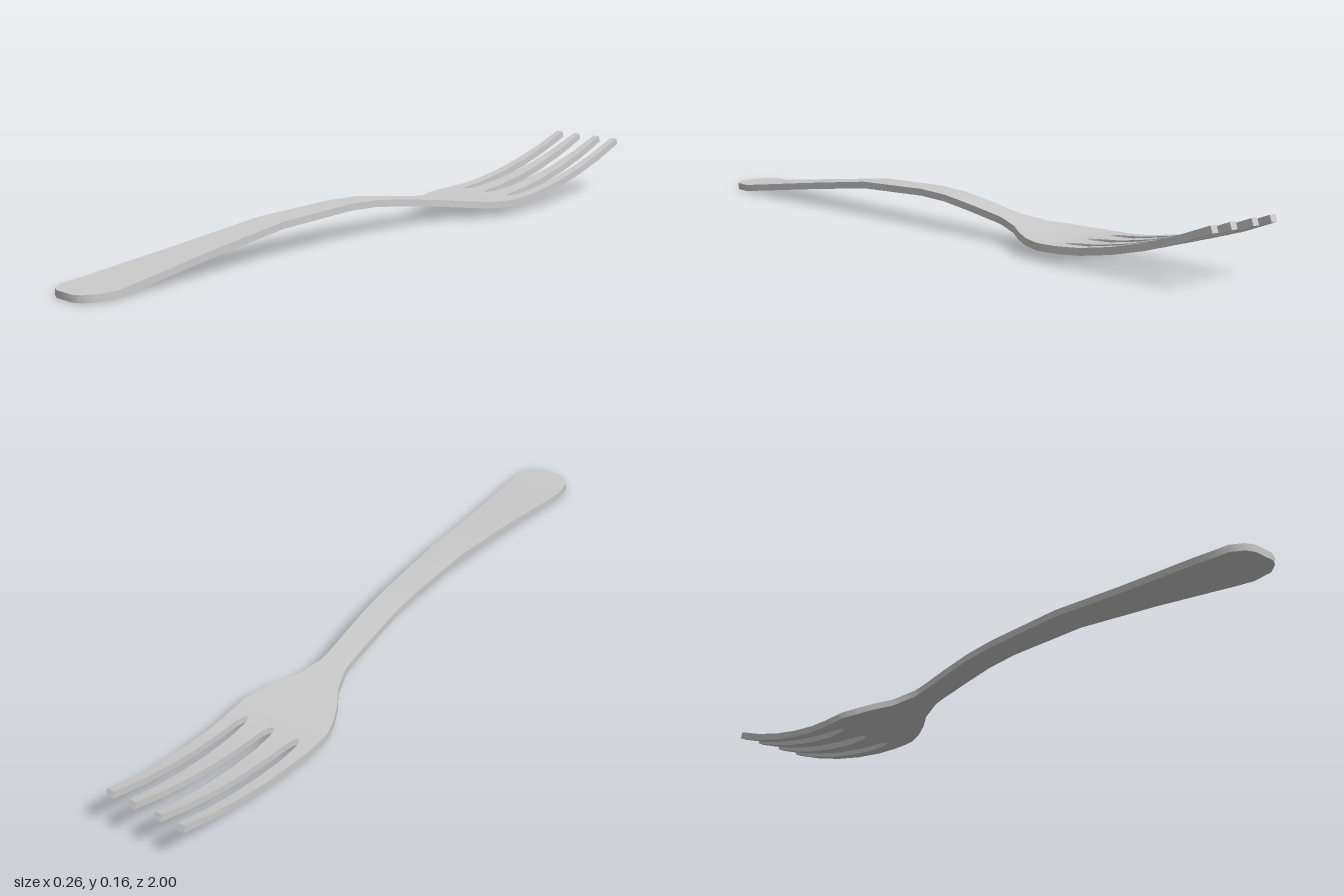
import * as THREE from 'three';
import { toCreasedNormals } from 'three/addons/utils/BufferGeometryUtils.js';

const HALF_THICKNESS = 0.0095;

// height of the bent centre line: [z, y]
const SPINE = [
  [1, 0.011], [0.9, 0.013], [0.6, 0.053], [0.35, 0.085], [0.1, 0.094], [0, 0.09], [-0.1, 0.077],
  [-0.2, 0.062], [-0.3, 0.048], [-0.4, 0.038], [-0.47, 0.036], [-0.53, 0.038], [-0.6, 0.044],
  [-0.7, 0.061], [-0.8, 0.085], [-0.9, 0.116], [-1, 0.154],
];

// half width of the handle and head: [z, x]
const OUTLINE = [
  [0.996, 0.03], [0.985, 0.052], [0.955, 0.074], [0.9, 0.08], [0.85, 0.078], [0.6, 0.058], [0.35, 0.047],
  [0.1, 0.04], [0, 0.039], [-0.1, 0.038], [-0.2, 0.037], [-0.23, 0.039], [-0.3, 0.061], [-0.35, 0.092],
  [-0.4, 0.115], [-0.45, 0.13], [-0.47, 0.13], [-0.505, 0.13],
];

// tine edges, running outwards from the middle slot to the outer side
const MIDDLE_SLOT = [[-0.505, 0], [-0.515, 0.008], [-0.535, 0.014], [-0.6, 0.018], [-1, 0.028]];
const SIDE_SLOT_IN = [[-0.505, 0.08], [-0.515, 0.073], [-0.535, 0.068], [-0.6, 0.063], [-1, 0.048]];
const SIDE_SLOT_OUT = [[-0.505, 0.08], [-0.515, 0.087], [-0.535, 0.092], [-0.6, 0.094], [-1, 0.094]];
const OUTER_EDGE = [[-0.505, 0.13], [-0.6, 0.126], [-1, 0.114]];
const TINE_ROWS = [-0.505, -0.515, -0.535, -0.57, -0.6, -0.65, -0.7, -0.75, -0.8, -0.85, -0.9, -0.95, -0.998];

// linear lookup in a table whose z runs from front to back
function sample(table, z) {
  for (let i = 1; i < table.length; i++) {
    const [z0, v0] = table[i - 1];
    const [z1, v1] = table[i];
    if (z >= z1) return THREE.MathUtils.lerp(v0, v1, THREE.MathUtils.clamp((z0 - z) / (z0 - z1), 0, 1));
  }
  return table[table.length - 1][1];
}

// bent strip of constant thickness; rows are [z, left x, right x] from front to back
function strip(name, rows, material) {
  const positions = [];
  const index = [];
  const quad = (a, b, c, d) => index.push(a, b, c, a, c, d);
  rows.forEach(([z, x0, x1], i) => {
    const a = Math.min(z + 0.03, 1);
    const b = Math.max(z - 0.03, -1);
    const slope = (sample(SPINE, a) - sample(SPINE, b)) / (a - b);
    const ny = HALF_THICKNESS / Math.hypot(1, slope);
    const nz = -slope * ny;
    const y = sample(SPINE, z);
    positions.push(x0, y + ny, z + nz, x1, y + ny, z + nz, x1, y - ny, z - nz, x0, y - ny, z - nz);
    if (i === 0) return;
    const p = (i - 1) * 4;
    for (let k = 0; k < 4; k++) {
      const n = (k + 1) % 4;
      quad(p + k, p + n, p + 4 + n, p + 4 + k);
    }
  });
  const last = (rows.length - 1) * 4;
  quad(0, 3, 2, 1);
  quad(last, last + 1, last + 2, last + 3);

  const geometry = new THREE.BufferGeometry();
  geometry.setAttribute('position', new THREE.Float32BufferAttribute(positions, 3));
  geometry.setIndex(index);
  const mesh = new THREE.Mesh(toCreasedNormals(geometry, 0.6), material);
  mesh.name = name;
  return mesh;
}

export function createModel() {
  const fork = new THREE.Group();
  fork.name = 'fork';
  const metal = new THREE.MeshStandardMaterial({ color: 0xcccccc });

  // handle widening into the head, with extra rows along the bends
  const zs = [...new Set([...OUTLINE, ...SPINE].map(([z]) => z))]
    .filter((z) => z <= 0.996 && z >= -0.505)
    .sort((a, b) => b - a);
  fork.add(strip('handleAndHead', zs.map((z) => [z, -sample(OUTLINE, z), sample(OUTLINE, z)]), metal));

  // two tines on each side, mirrored
  const tines = [['InnerTine', MIDDLE_SLOT, SIDE_SLOT_IN], ['OuterTine', SIDE_SLOT_OUT, OUTER_EDGE]];
  for (const [name, near, far] of tines) {
    const rows = TINE_ROWS.map((z) => [z, sample(near, z), sample(far, z)]);
    fork.add(strip('left' + name, rows, metal));
    fork.add(strip('right' + name, rows.map(([z, a, b]) => [z, -b, -a]), metal));
  }
  return fork;
}
